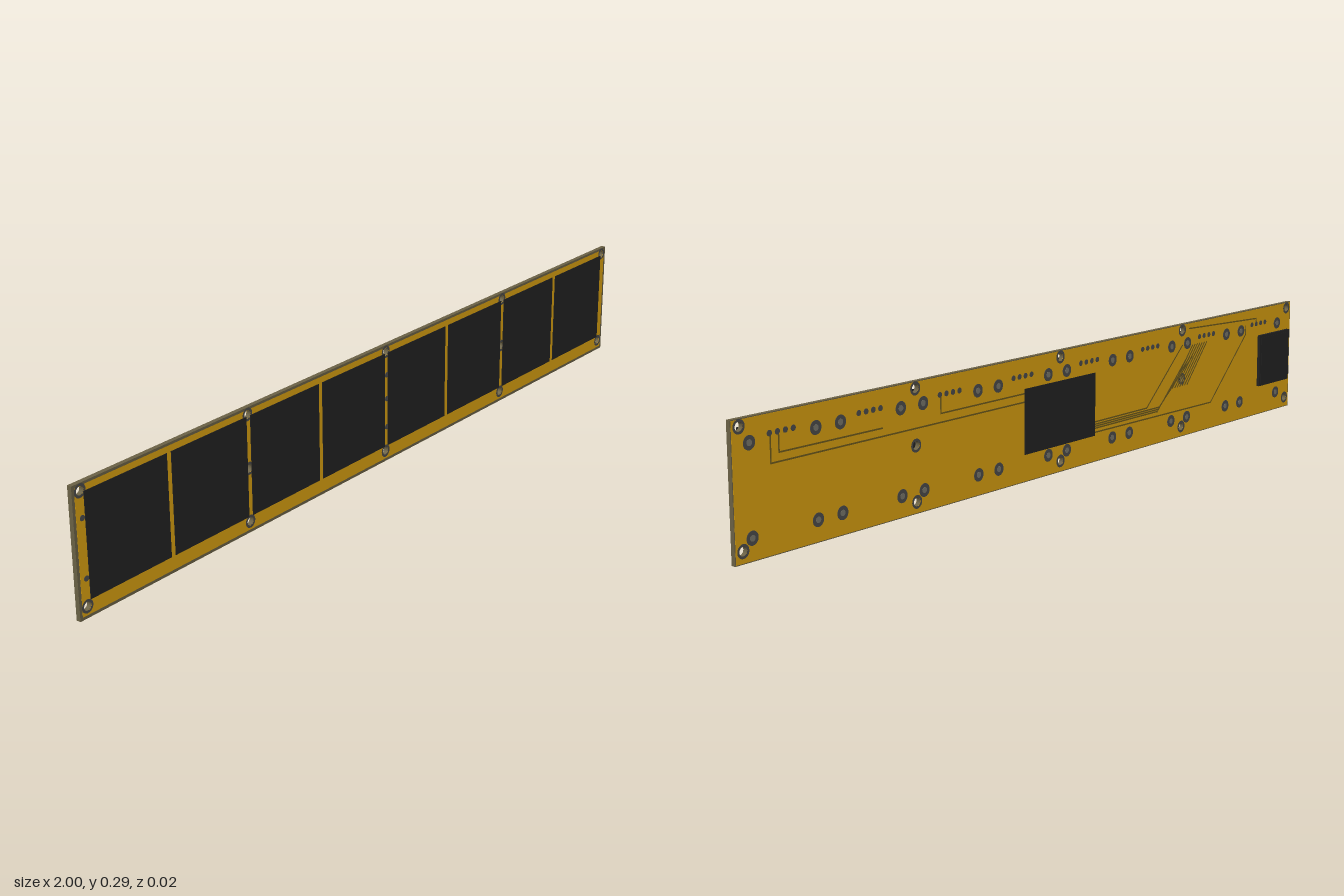
import * as THREE from 'three';

const mat = (color) => new THREE.MeshStandardMaterial({ color, roughness: 0.8 });
const GOLD = mat(0xd9a010), EDGE = mat(0x6b6246), CELL = mat(0x222222);
const RING = mat(0x4a4a4a), METAL = mat(0x77756a), TRACE = mat(0x6e5a1c);

const H = 0.295, FRONT = 0.0095, BACK = -0.0025;
const PITCH = 0.2445, CELLS = 8;
const cellX = (i) => (i - (CELLS - 1) / 2) * PITCH;

// mounting holes: five columns, two of them with a middle hole
const holes = [];
for (const x of [-0.979, -0.489, 0, 0.489, 0.979]) {
  holes.push([x, 0.279], [x, 0.027]);
  if (Math.abs(x) === 0.489) holes.push([x, 0.153]);
}

export function createModel() {
  const model = new THREE.Group();

  const add = (name, geometry, material, x = 0, y = 0, z = 0, parent = model) => {
    const mesh = new THREE.Mesh(geometry, material);
    mesh.name = name;
    mesh.position.set(x, y, z);
    parent.add(mesh);
    return mesh;
  };
  const group = (name) => {
    const g = new THREE.Group();
    g.name = name;
    model.add(g);
    return g;
  };
  const box = (name, material, x0, x1, y0, y1, z0, z1, parent) =>
    add(name, new THREE.BoxGeometry(x1 - x0, y1 - y0, z1 - z0), material,
      (x0 + x1) / 2, (y0 + y1) / 2, (z0 + z1) / 2, parent);

  // rectangular sheet pierced by the mounting holes
  const sheet = (name, material, inset, radius, z0, z1) => {
    const s = new THREE.Shape();
    const x = 1 - inset;
    s.moveTo(-x, inset).lineTo(x, inset).lineTo(x, H - inset).lineTo(-x, H - inset).closePath();
    for (const [hx, hy] of holes) {
      s.holes.push(new THREE.Path().absarc(hx, hy, radius, 0, Math.PI * 2, true));
    }
    add(name, new THREE.ExtrudeGeometry(s, { depth: z1 - z0, bevelEnabled: false, curveSegments: 10 }),
      material, 0, 0, z0);
  };
  sheet('boardCore', EDGE, 0, 0.01, -0.002, 0.009);
  sheet('frontMask', GOLD, 0.007, 0.0105, 0.009, FRONT);
  sheet('backMask', GOLD, 0.002, 0.0105, BACK, -0.002);

  // annular collars around the holes on both faces
  const collars = group('holeCollars');
  const collar = new THREE.RingGeometry(0.01, 0.0155, 20);
  for (const [x, y] of holes) {
    add('frontCollar', collar, RING, x, y, FRONT + 0.0004, collars);
    add('backCollar', collar, RING, x, y, BACK - 0.0004, collars).rotation.y = Math.PI;
  }

  // solar cells, with solder pads and a four pin row behind each
  const cells = group('solarCells');
  const pads = group('solderPads');
  const pins = group('pinRows');
  const disc = (r, depth) => new THREE.CylinderGeometry(r, r, depth, 18).rotateX(Math.PI / 2);
  const padDisc = disc(0.0155, 0.0008), padCore = disc(0.007, 0.0012), pin = disc(0.0065, 0.0008);
  for (let i = 0; i < CELLS; i++) {
    const x = cellX(i) + 0.002;
    box('solarCell', CELL, x - 0.116, x + 0.116, 0.039, 0.275, FRONT, 0.0108, cells);
    for (const dx of [-0.088, 0.088]) {
      for (const y of [0.049, 0.243]) {
        add('pad', padDisc, RING, cellX(i) + 0.0105 + dx, y, BACK - 0.0004, pads);
        add('padCore', padCore, METAL, cellX(i) + 0.0105 + dx, y, BACK - 0.0006, pads);
      }
    }
    for (let k = 0; k < 4; k++) {
      add('pin', pin, RING, cellX(i) + 0.0145 + (k - 1.5) * 0.021, 0.253, BACK - 0.0004, pins);
    }
  }

  // small contacts showing beside the cells
  const contacts = group('frontContacts');
  for (const [x, y] of [[-0.977, 0.22], [-0.977, 0.088], [0.004, 0.22], [0.004, 0.16], [0.004, 0.088]]) {
    add('contact', disc(0.0065, 0.0008), RING, x, y, FRONT + 0.0004, contacts);
  }

  // electronics on the back
  box('centreModule', CELL, -0.13, 0.13, 0.066, 0.222, -0.0045, BACK);
  box('endModule', CELL, -0.984, -0.84, 0.08, 0.22, -0.0105, BACK);
  box('endModuleLid', CELL, -0.977, -0.847, 0.087, 0.213, -0.0115, -0.0105);

  // conductor runs on the back
  const traces = group('traces');
  const run = (...pts) => {
    for (let i = 1; i < pts.length; i++) {
      const [x0, y0] = pts[i - 1], [x1, y1] = pts[i];
      const bar = add('trace', new THREE.BoxGeometry(Math.hypot(x1 - x0, y1 - y0) + 0.003, 0.0035, 0.0006),
        TRACE, (x0 + x1) / 2, (y0 + y1) / 2, BACK - 0.0003, traces);
      bar.rotation.z = Math.atan2(y1 - y0, x1 - x0);
    }
  };
  run([0.9, 0.253], [0.9, 0.191], [0.13, 0.191]);
  run([0.878, 0.253], [0.878, 0.21], [0.59, 0.209]);
  run([0.41, 0.253], [0.41, 0.211], [0.13, 0.211]);
  run([-0.13, 0.074], [-0.62, 0.07], [-0.78, 0.231], [-0.78, 0.253]);
  run([-0.13, 0.1], [-0.34, 0.1], [-0.49, 0.24]);
  run([-0.52, 0.28], [-0.83, 0.268], [-0.83, 0.253]);
  // bundle of parallel runs
  for (let k = 0; k < 3; k++) {
    run([-0.13, 0.084 + k * 0.005], [-0.385 - k * 0.004, 0.084 + k * 0.005], [-0.51 - k * 0.012, 0.205]);
  }
  for (let k = 0; k < 7; k++) {
    const s = k * 0.0105;
    run([-0.45 - s, 0.135], [-0.535 - s, 0.235]);
  }
  return model;
}
